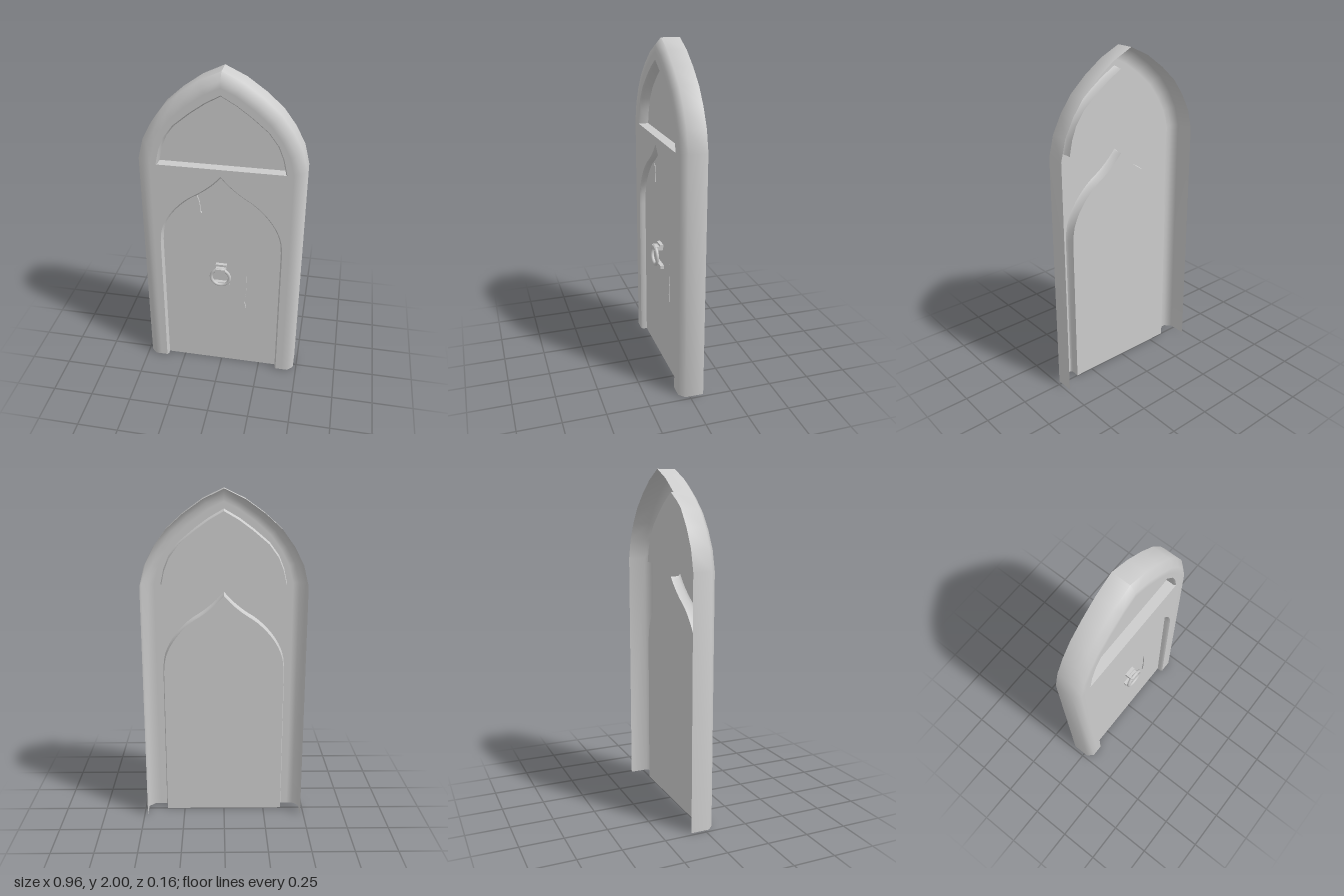
import * as THREE from 'three';
import { toCreasedNormals } from 'three/addons/utils/BufferGeometryUtils.js';

const BACK = -0.083, SHOULDER = 0.026, FACE = 0.06, PANEL = 0.0, DOOR = 0.024;
const V = (x, y) => new THREE.Vector2(x, y);
const material = new THREE.MeshStandardMaterial({ color: 0xcccccc, side: THREE.DoubleSide });

function add(parent, name, geometry, x = 0, y = 0, z = 0) {
  const mesh = new THREE.Mesh(geometry, material);
  mesh.name = name;
  mesh.position.set(x, y, z);
  parent.add(mesh);
}

// Right half (bottom to apex) mirrored into a full arch, running right to left
const mirrored = half => [...half, ...half.slice(0, -1).reverse().map(p => V(-p.x, p.y))];
const arch = half => mirrored(half.map(([x, y]) => V(x, y)));

// Mitred offset of an open outline, positive is outward
function offset(pts, d) {
  const normal = (a, b) => V(b.y - a.y, a.x - b.x).normalize();
  const last = pts.length - 1;
  return pts.map((p, i) => {
    const n1 = normal(pts[Math.max(i - 1, 0)], pts[Math.max(i, 1)]);
    const n2 = normal(pts[Math.min(i, last - 1)], pts[Math.min(i + 1, last)]);
    const k = d / (1 + n1.dot(n2));
    return V(p.x + (n1.x + n2.x) * k, p.y + (n1.y + n2.y) * k);
  });
}

// Walls between successive outlines at given depths
function loft(rings, closed = false) {
  const pos = [];
  for (let r = 0; r + 1 < rings.length; r++) {
    const [A, za] = rings[r], [B, zb] = rings[r + 1];
    const n = A.length;
    for (let i = 0; i < (closed ? n : n - 1); i++) {
      const j = (i + 1) % n;
      const a = [A[i].x, A[i].y, za], b = [A[j].x, A[j].y, za];
      const c = [B[j].x, B[j].y, zb], d = [B[i].x, B[i].y, zb];
      pos.push(...a, ...b, ...c, ...a, ...c, ...d);
    }
  }
  const g = new THREE.BufferGeometry();
  g.setAttribute('position', new THREE.Float32BufferAttribute(pos, 3));
  return toCreasedNormals(g, 0.85);
}

function flat(pts, holes = []) {
  const shape = new THREE.Shape(pts);
  shape.holes = holes.map(h => new THREE.Path(h));
  return new THREE.ShapeGeometry(shape);
}

export function createModel() {
  const group = new THREE.Group();
  group.name = 'archedDoor';

  // Outlines
  const outer = arch([[0.48, 0], [0.48, 1.46], [0.45, 1.58], [0.395, 1.685], [0.325, 1.78],
    [0.23, 1.865], [0.12, 1.943], [0, 2]]);
  const bevel = offset(outer, -0.035);
  const faceEdge = offset(outer, -0.072);
  const doorCurve = new THREE.SplineCurve([V(0.36, 0.92), V(0.35, 1.005), V(0.318, 1.085),
    V(0.265, 1.16), V(0.195, 1.228), V(0.12, 1.278), V(0.05, 1.335), V(0, 1.388)]);
  const door = mirrored([V(0.36, 0), ...doorCurve.getPoints(18)]);
  const doorFront = offset(door, 0.009);
  const window = arch([[0.365, 1.445], [0.345, 1.535], [0.315, 1.61], [0.26, 1.685],
    [0.165, 1.765], [0.085, 1.823], [0, 1.872]]);
  const windowFront = offset(window, 0.008);
  windowFront[0].y = windowFront[windowFront.length - 1].y = 1.445;

  // Frame: open-backed shell with a softly shaded bevel
  add(group, 'frameSides', loft([[outer, BACK], [outer, SHOULDER], [bevel, FACE], [faceEdge, FACE]]));
  add(group, 'frameFace', flat([...faceEdge, ...doorFront.slice().reverse()], [windowFront]), 0, 0, FACE);

  // Reveals and the upper panel
  add(group, 'doorReveal', loft([[doorFront, FACE], [door, FACE - 0.012], [door, PANEL]]));
  add(group, 'upperReveal', loft([[windowFront, FACE], [window, FACE - 0.012], [window, PANEL]], true));
  add(group, 'upperPanel', flat(window), 0, 0, PANEL);

  // Door slab with two cracks sunk into its front
  const cracks = [
    [[0.153, 0.71], [0.156, 0.62], [0.153, 0.56], [0.144, 0.5], [0.15, 0.48], [0.157, 0.445],
      [0.16, 0.47], [0.163, 0.53], [0.165, 0.62]],
    [[-0.148, 1.255], [-0.131, 1.2], [-0.127, 1.14], [-0.117, 1.13], [-0.117, 1.18], [-0.13, 1.24]],
  ].map(c => c.map(([x, y]) => V(x, y)));
  add(group, 'doorFront', flat(door, cracks), 0, 0, DOOR);
  add(group, 'doorBack', flat(door.slice().reverse()), 0, 0, PANEL);
  add(group, 'doorBottom', loft([[[V(-0.36, 0), V(0.36, 0)], PANEL], [[V(-0.36, 0), V(0.36, 0)], DOOR]]));
  for (const c of cracks) {
    add(group, 'crackWalls', loft([[c, DOOR], [c, DOOR - 0.012]], true));
    add(group, 'crackFloor', flat(c), 0, 0, DOOR - 0.012);
  }

  // Ring knocker: ring, clasp holding it, and thin tabs on the door above and below
  const knocker = new THREE.Group();
  knocker.name = 'knocker';
  knocker.position.set(0, 0.71, 0);
  group.add(knocker);
  const block = (name, w, h, y, z0, z1) =>
    add(knocker, name, new THREE.BoxGeometry(w, h, z1 - z0), 0, y, (z0 + z1) / 2);
  add(knocker, 'ring', new THREE.TorusGeometry(0.057, 0.01, 8, 28), 0, 0, 0.068);
  block('clasp', 0.06, 0.024, 0.049, DOOR, 0.079);
  block('upperTab', 0.068, 0.018, 0.066, DOOR, 0.045);
  block('lowerTab', 0.1, 0.022, -0.067, DOOR, 0.048);
  return group;
}
